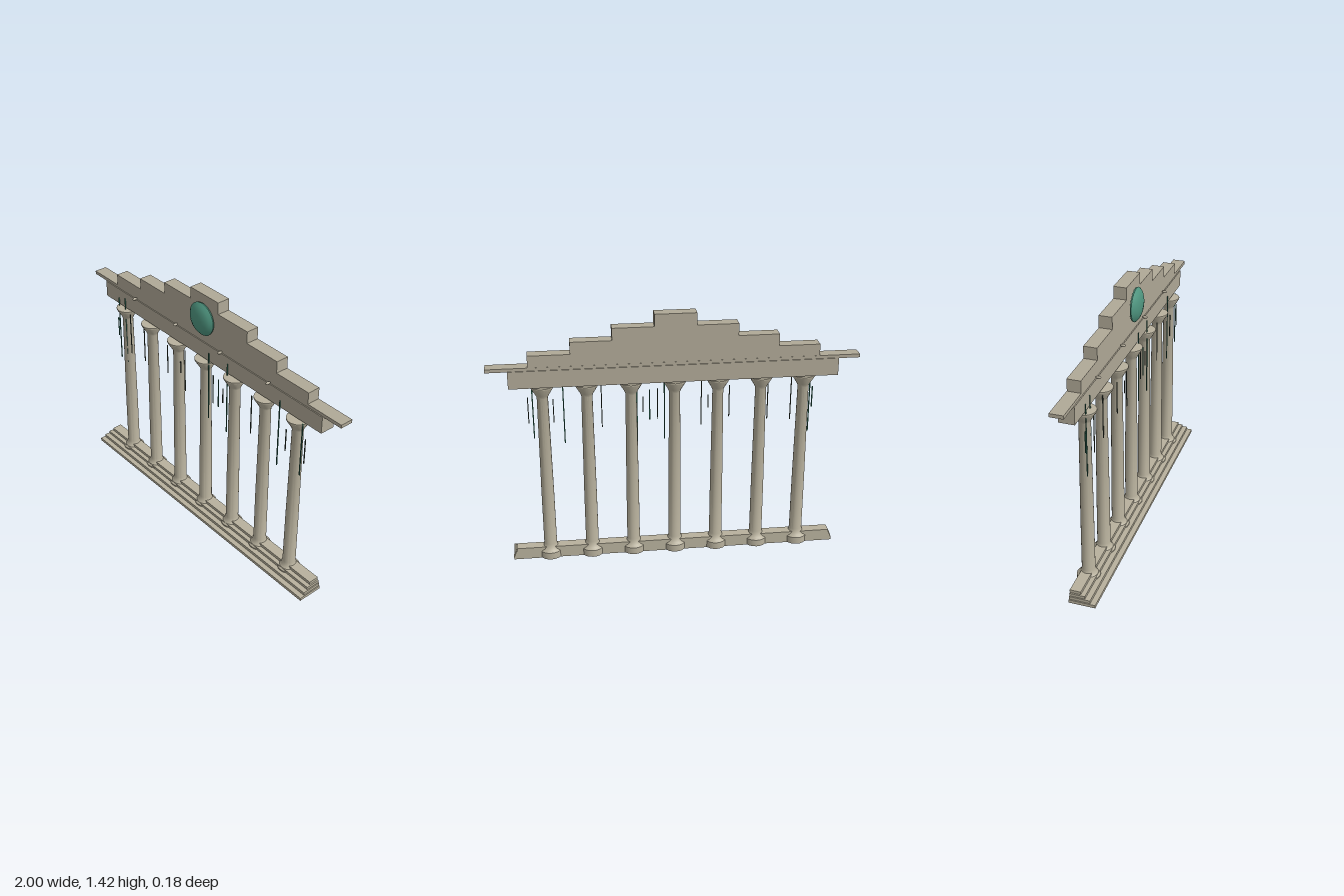
import * as THREE from 'three';
import { toCreasedNormals } from 'three/addons/utils/BufferGeometryUtils.js';

const mat = (name, color) => {
  const m = new THREE.MeshStandardMaterial({ color });
  m.name = name;
  return m;
};

export function createModel() {
  const group = new THREE.Group();
  const stone = mat('stone', 0xb0a997);
  const paleStone = mat('pale stone', 0xb8b19d);
  const verdigris = mat('verdigris', 0x4f9680);
  const vineGreen = mat('vine green', 0x2f6e5a);
  const darkVine = mat('dark vine', 0x3a463c);

  const add = (name, geometry, material, x = 0, y = 0, z = 0) => {
    const mesh = new THREE.Mesh(geometry, material);
    mesh.name = name;
    mesh.position.set(x, y, z);
    group.add(mesh);
    return mesh;
  };
  // Box given by half width, height range and depth range
  const block = (name, halfX, y0, y1, z0, z1, material) =>
    add(name, new THREE.BoxGeometry(halfX * 2, y1 - y0, z1 - z0), material,
      0, (y0 + y1) / 2, (z0 + z1) / 2);

  // Stepped base, flush at the back
  [[0.92, 0, 0.018, 0.09], [0.914, 0.018, 0.035, 0.06],
    [0.908, 0.035, 0.051, 0.03], [0.90, 0.051, 0.068, 0.005]]
    .forEach(([hx, y0, y1, z1]) => block('baseStep', hx, y0, y1, -0.055, z1, paleStone));

  // Columns: drum foot, tapering shaft and flared capital in one turned profile
  const profile = [[0, 0.002], [0.063, 0.002], [0.063, 0.042], [0.05, 0.052], [0.041, 0.066],
    [0.036, 0.085], [0.035, 0.4], [0.030, 0.97], [0.036, 0.985], [0.063, 1.03],
    [0.063, 1.037], [0, 1.037]].map(([r, y]) => new THREE.Vector2(r, y));
  const columnGeometry = toCreasedNormals(new THREE.LatheGeometry(profile, 20), 0.6);
  for (let i = -3; i <= 3; i++) add('column', columnGeometry, paleStone, i * 0.2367, 0, -0.022);

  // Beam and overhanging cornice
  block('beam', 0.884, 1.047, 1.143, -0.086, -0.002, stone);
  block('cornice', 1, 1.141, 1.16, -0.081, -0.008, stone);

  // Stepped gable
  [[0.778, 1.16, 1.225], [0.555, 1.225, 1.291], [0.335, 1.291, 1.358], [0.112, 1.358, 1.425]]
    .forEach(([hx, y0, y1]) => block('gableTier', hx, y0, y1, -0.08, -0.008, stone));

  // Domed medallion on the gable
  const dome = [[0, 0], [0.092, 0], [0.094, 0.008], [0.078, 0.022], [0.058, 0.031],
    [0.03, 0.037], [0, 0.038]].map(([r, y]) => new THREE.Vector2(r, y));
  add('medallion', toCreasedNormals(new THREE.LatheGeometry(dome, 32), 0.7), verdigris, 0, 1.289, 0.002)
    .rotation.x = Math.PI / 2;

  // Small studs along the cornice
  const studGeometry = new THREE.SphereGeometry(0.008, 12, 8).scale(1, 1, 1.9);
  [-0.59, -0.222, 0.148, 0.515].forEach((x) => add('stud', studGeometry, stone, x, 1.153, 0.009));

  // Hanging strands: x, bottom, top, green or dark
  [[-0.77, 0.83, 0.95, 1], [-0.755, 0.685, 1.09, 1], [-0.695, 0.55, 1.107, 1],
    [-0.65, 0.76, 1.02, 0], [-0.52, 0.77, 1.02, 0], [-0.305, 0.795, 0.98, 0],
    [-0.187, 0.855, 0.93, 0], [-0.15, 0.755, 1.02, 0], [0.053, 0.68, 1.10, 1],
    [0.09, 0.8, 0.98, 0], [0.134, 0.8, 0.975, 1], [0.17, 0.845, 0.936, 0],
    [0.203, 0.67, 1.107, 1], [0.395, 0.77, 1.01, 0], [0.6, 0.685, 1.09, 1],
    [0.655, 0.81, 0.945, 0], [0.765, 0.72, 1.04, 1], [0.79, 0.81, 0.96, 0]]
    .forEach(([x, y0, y1, green]) => add('strand',
      new THREE.BoxGeometry(green ? 0.006 : 0.005, y1 - y0, 0.004),
      green ? vineGreen : darkVine, x, (y0 + y1) / 2, 0.003));

  return group;
}
